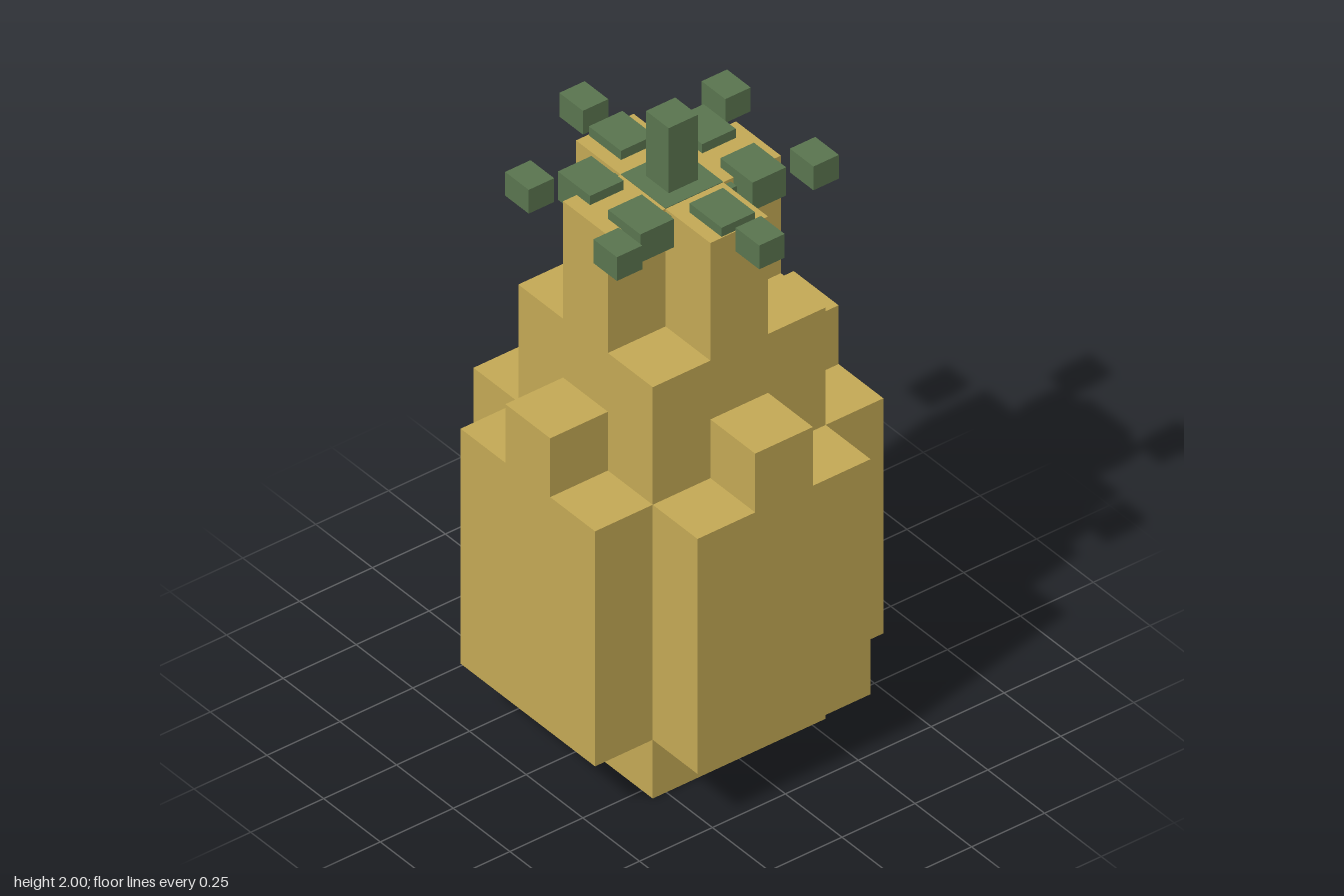
import * as THREE from 'three';

const U = 0.1977; // one block

function material(name, color) {
  const m = new THREE.MeshStandardMaterial({ color });
  m.name = name;
  return m;
}

// Flat outline, extruded along +z
function extrude(points, depth) {
  const shape = new THREE.Shape(points.map(([x, y]) => new THREE.Vector2(x, y)));
  return new THREE.ExtrudeGeometry(shape, { depth, bevelEnabled: false });
}

export function createModel() {
  const model = new THREE.Group();
  model.name = 'blockPineapple';
  const gold = material('goldenRind', 0xc4a955);
  const green = material('leafGreen', 0x5a754f);

  function add(name, geometry, mat, parent = model) {
    const mesh = new THREE.Mesh(geometry, mat);
    mesh.name = name;
    parent.add(mesh);
    return mesh;
  }
  // Box centred on x, z and spanning y0 to y1
  function box(name, w, d, y0, y1, x, z, mat, parent) {
    const mesh = add(name, new THREE.BoxGeometry(w, y1 - y0, d), mat, parent);
    mesh.position.set(x, (y0 + y1) / 2, z);
  }

  // Square core of the fruit
  box('core', 3 * U, 3 * U, 0, 7 * U, 0, 0, gold);

  // Four stepped side panels, each with a raised middle block
  const a = 0.5 * U, b = 1.5 * U;
  const panel = extrude([
    [-b, U], [b, U], [b, 5 * U], [a, 5 * U], [a, 6 * U],
    [-a, 6 * U], [-a, 5 * U], [-b, 5 * U],
  ], U);
  panel.translate(0, 0, b);
  for (let i = 0; i < 4; i++) {
    add('sidePanel', panel, gold).rotation.y = i * Math.PI / 2;
  }

  // Cross-shaped neck
  const neck = extrude([
    [a, b], [-a, b], [-a, a], [-b, a], [-b, -a], [-a, -a],
    [-a, -b], [a, -b], [a, -a], [b, -a], [b, a], [a, a],
  ], 2 * U);
  neck.rotateX(-Math.PI / 2);
  neck.translate(0, 7 * U, 0);
  add('neck', neck, gold);

  // Crown: base plate, central stem and six leaves of separate blocks
  const crown = new THREE.Group();
  crown.name = 'crown';
  model.add(crown);
  box('crownBase', U, U, 9 * U - 0.004, 9 * U + 0.002, 0, 0, green, crown);
  box('stem', 0.1, 0.1, 9 * U, 2, 0, 0, green, crown);
  for (let i = 0; i < 6; i++) {
    const leaf = new THREE.Group();
    leaf.name = 'leaf';
    crown.add(leaf);
    const c = Math.cos(i * Math.PI / 3), s = Math.sin(i * Math.PI / 3);
    box('leafRoot', 0.15, 0.08, 1.69, 1.77, 0.1 * c, 0.098 * s, green, leaf);
    box('leafMiddle', 0.142, 0.115, 1.715, 1.81, 0.222 * c, 0.222 * s, green, leaf);
    box('leafTip', 0.104, 0.087, 1.75, 1.83, 0.389 * c, 0.389 * s, green, leaf);
  }
  return model;
}
